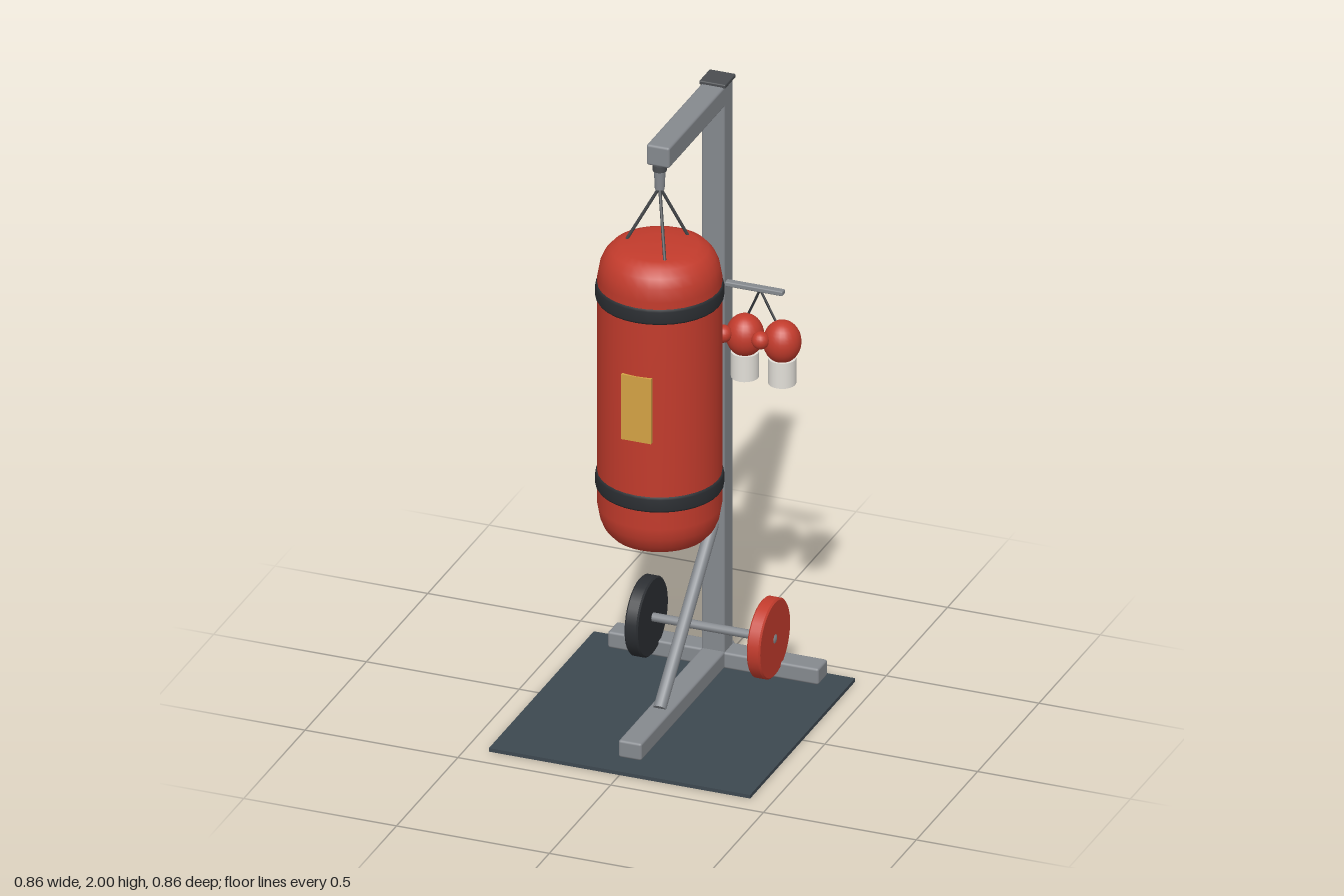
import * as THREE from 'three';
import { RoundedBoxGeometry } from 'three/addons/geometries/RoundedBoxGeometry.js';

const mat = (color) => new THREE.MeshStandardMaterial({ color });
const RED = mat(0xc23b2c), BLACK = mat(0x2b2e32), STEEL = mat(0x85898e), DARK = mat(0x4a4d50),
  FLOOR = mat(0x3d4850), GOLD = mat(0xd4a245), WHITE = mat(0xe2dfd8);

export function createModel() {
  const model = new THREE.Group();
  model.name = 'punchingBagStand';

  const add = (name, geometry, material, x = 0, y = 0, z = 0, parent = model) => {
    const mesh = new THREE.Mesh(geometry, material);
    mesh.name = name;
    mesh.position.set(x, y, z);
    parent.add(mesh);
    return mesh;
  };
  // Soft-edged bar given by its minimum and maximum corners
  const bar = (name, a, b, material = STEEL, r = 0.008) => {
    const s = b.map((v, i) => v - a[i]);
    const c = b.map((v, i) => (v + a[i]) / 2);
    return add(name, new RoundedBoxGeometry(...s, 2, r), material, ...c);
  };
  // Round rod between two points
  const rod = (name, a, b, r, material, sides = 12) => {
    const p = new THREE.Vector3(...a), q = new THREE.Vector3(...b);
    const mid = p.clone().add(q).multiplyScalar(0.5);
    const mesh = add(name, new THREE.CylinderGeometry(r, r, p.distanceTo(q), sides), material, mid.x, mid.y, mid.z);
    mesh.quaternion.setFromUnitVectors(new THREE.Vector3(0, 1, 0), q.sub(p).normalize());
    return mesh;
  };
  const lathe = (points, sides) =>
    new THREE.LatheGeometry(points.map(([r, y]) => new THREE.Vector2(r, y)), sides);

  // Floor mat and frame
  add('floorMat', new THREE.BoxGeometry(0.855, 0.012, 0.855), FLOOR, 0, 0.006, 0);
  bar('crossFoot', [-0.345, 0.015, -0.41], [0.345, 0.07, -0.333]);
  bar('frontFoot', [-0.038, 0.015, -0.42], [0.038, 0.073, 0.345]);
  bar('post', [-0.038, 0.02, -0.405], [0.038, 1.99, -0.332]);
  bar('boom', [-0.038, 1.92, -0.4], [0.038, 1.99, 0.117]);
  bar('postCap', [-0.043, 1.986, -0.413], [0.043, 2, -0.327], DARK, 0.004);
  rod('brace', [0, 0.075, 0.1], [0, 0.505, -0.335], 0.02, STEEL, 16);

  // Swivel and three hanging straps
  const bagZ = 0.1;
  add('swivelMount', new THREE.CylinderGeometry(0.022, 0.022, 0.02, 16), DARK, 0, 1.912, bagZ);
  add('swivel', new THREE.CylinderGeometry(0.018, 0.015, 0.065, 16), STEEL, 0, 1.872, bagZ);
  for (let i = 0; i < 3; i++) {
    const a = Math.PI + (i * Math.PI * 2) / 3;
    rod('hangingStrap', [0, 1.845, bagZ],
      [0.11 * Math.cos(a), 1.645, bagZ + 0.11 * Math.sin(a)], 0.005, DARK, 8);
  }

  // Heavy bag with rounded ends
  add('bag', lathe([[0, 0.66], [0.06, 0.661], [0.12, 0.665], [0.15, 0.68], [0.17, 0.703], [0.183, 0.735],
    [0.19, 0.775], [0.19, 1.545], [0.183, 1.585], [0.17, 1.615], [0.15, 1.638], [0.12, 1.65],
    [0.06, 1.655], [0, 1.656]], 32), RED, 0, 0, bagZ);
  for (const y of [0.86, 1.497]) {
    add('bagBand', lathe([[0.185, -0.025], [0.192, -0.025], [0.196, -0.018],
      [0.196, 0.018], [0.192, 0.025], [0.185, 0.025]], 32), BLACK, 0, y, bagZ);
  }
  add('bagPatch', new THREE.BoxGeometry(0.098, 0.22, 0.012), GOLD, 0, 1.18, 0.288);

  // Transport wheels on an axle
  const wheelY = 0.172, wheelZ = -0.288;
  rod('axle', [-0.223, wheelY, wheelZ], [0.223, wheelY, wheelZ], 0.014, STEEL);
  for (const side of [-1, 1]) {
    const wheel = add('wheel', lathe([[0, -0.022], [0.122, -0.022], [0.122, -0.022], [0.127, -0.017],
      [0.127, -0.017], [0.127, 0.017], [0.127, 0.017], [0.122, 0.022], [0.122, 0.022], [0, 0.022]], 32),
      side > 0 ? RED : BLACK, side * 0.2, wheelY, wheelZ);
    wheel.rotation.z = Math.PI / 2;
    const hub = add('hub', new THREE.SphereGeometry(0.028, 16, 12), STEEL, side * 0.201, wheelY, wheelZ);
    hub.scale.x = 0.9;
  }

  // Peg with a pair of hanging gloves
  bar('glovePeg', [0.03, 1.31, -0.363], [0.225, 1.326, -0.339], STEEL, 0.004);
  for (const x of [0.118, 0.24]) {
    const glove = new THREE.Group();
    glove.name = 'glove';
    glove.position.set(x, 1.18, -0.3);
    model.add(glove);
    add('gloveFist', new THREE.SphereGeometry(0.059, 24, 16), RED, 0, 0, 0, glove).scale.y = 1.16;
    add('gloveThumb', new THREE.SphereGeometry(0.028, 16, 12), RED, -0.051, 0.017, 0.05, glove);
    add('gloveCuff', new THREE.CylinderGeometry(0.043, 0.043, 0.085, 20), WHITE, 0, -0.098, 0, glove);
    rod('gloveLace', [0.15, 1.318, -0.345], [x + (x > 0.2 ? -0.03 : 0), 1.235, -0.32], 0.004, BLACK, 8);
  }
  return model;
}
